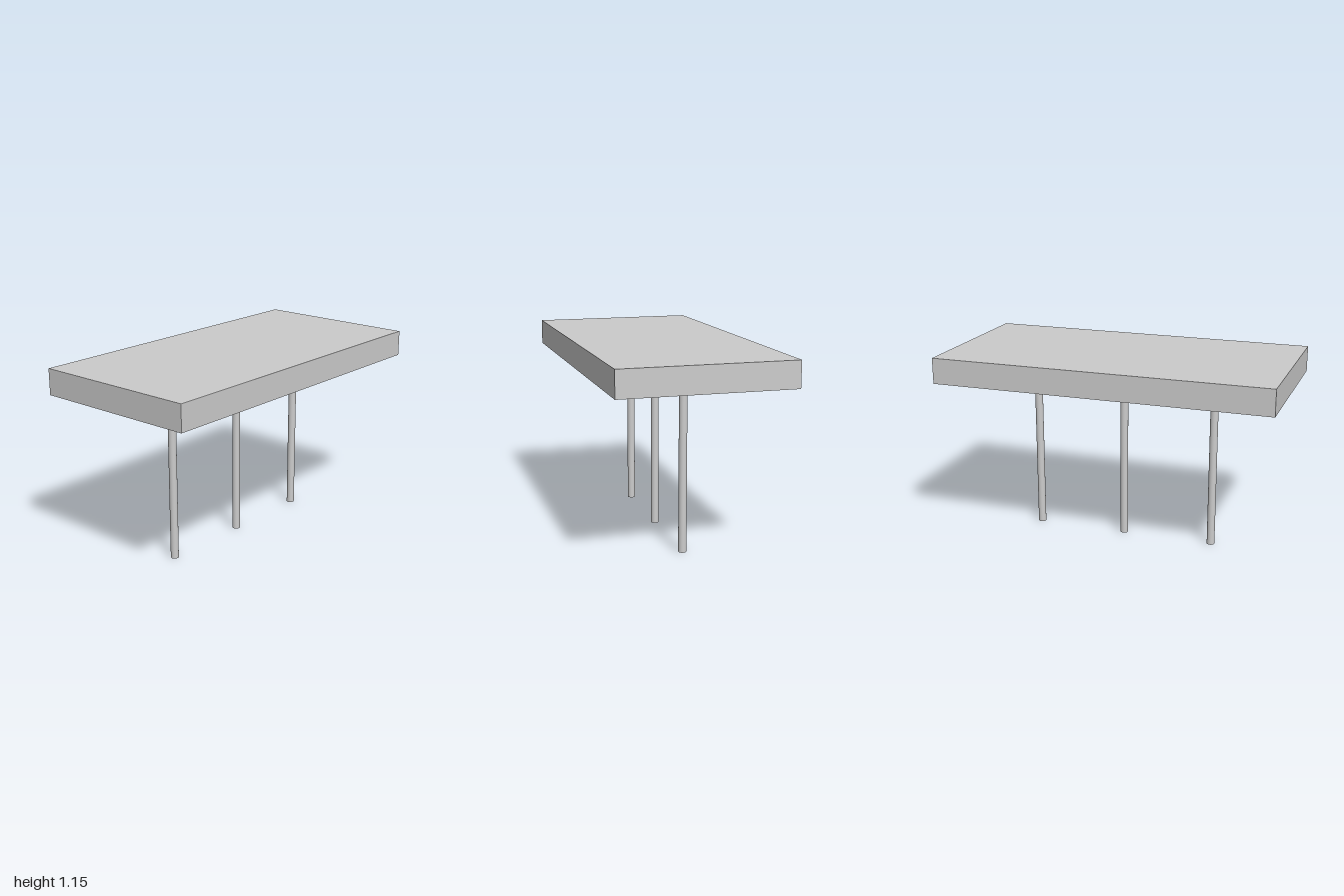
import * as THREE from 'three';

export function createModel() {
  const model = new THREE.Group();
  const material = new THREE.MeshStandardMaterial({ color: 0xcccccc });

  const slabBottom = 0.997, slabTop = 1.15;
  const postRadius = 0.0235, postSpacing = 0.555;

  // Thick rectangular slab on top
  const slab = new THREE.Mesh(
    new THREE.BoxGeometry(0.997, slabTop - slabBottom, 2), material);
  slab.name = 'slab';
  slab.position.y = (slabTop + slabBottom) / 2;
  model.add(slab);

  // Row of three slim round posts along the centre line
  const postGeometry = new THREE.CylinderGeometry(postRadius, postRadius, slabBottom, 32);
  ['backPost', 'middlePost', 'frontPost'].forEach((name, i) => {
    const post = new THREE.Mesh(postGeometry, material);
    post.name = name;
    post.position.set(0, slabBottom / 2, (i - 1) * postSpacing);
    model.add(post);
  });

  return model;
}
